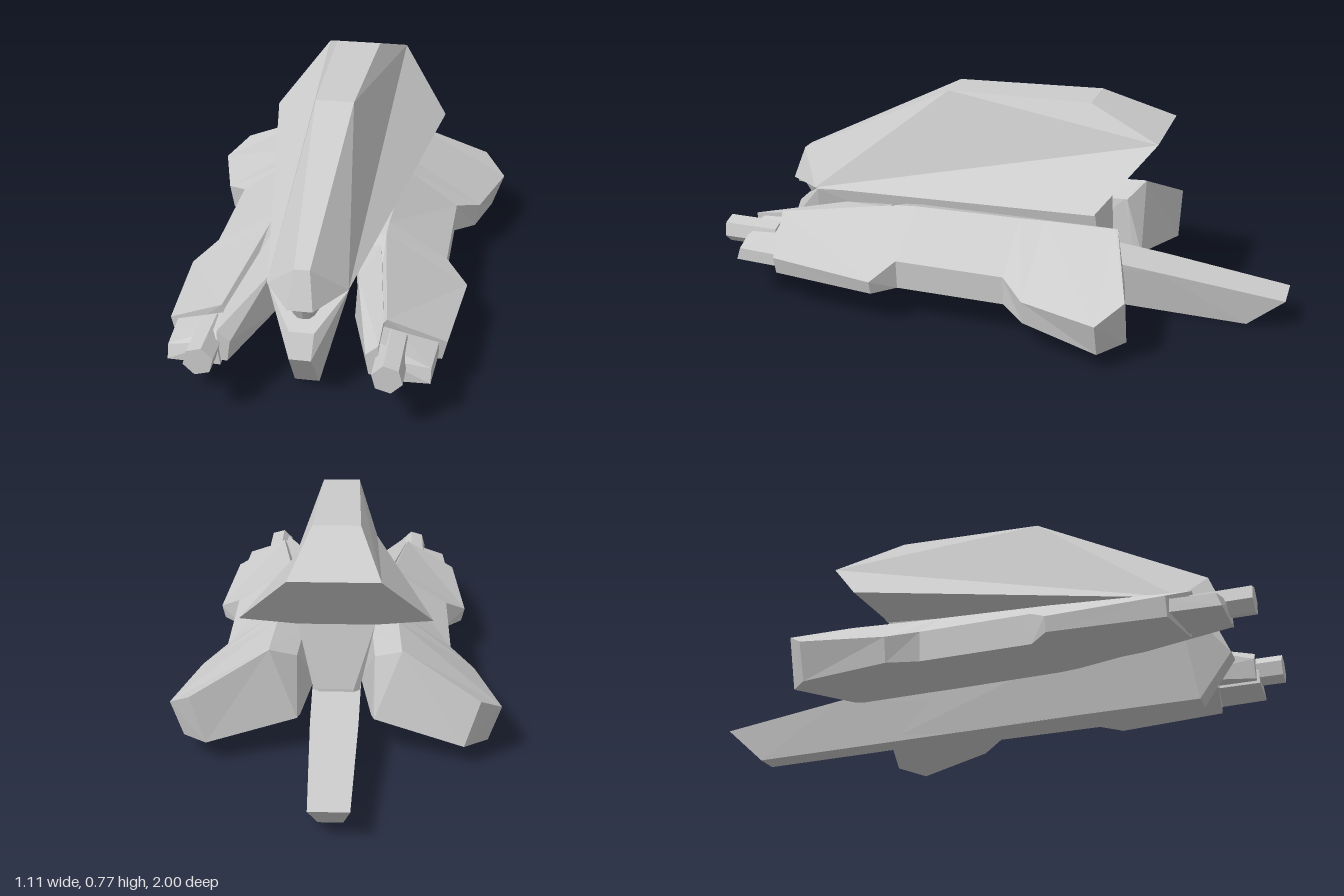
import * as THREE from 'three';
import { ConvexGeometry } from 'three/addons/geometries/ConvexGeometry.js';

const material = new THREE.MeshStandardMaterial({ color: 0xcccccc, flatShading: true });

function part(name, geometry, parent) {
  const mesh = new THREE.Mesh(geometry, material);
  mesh.name = name;
  parent.add(mesh);
  return mesh;
}

// Faceted solid from corner points
const solid = (points) => new ConvexGeometry(points.map((p) => new THREE.Vector3(...p)));

// Same, with each point repeated on the other side
const mirrored = (points) => solid(points.flatMap(([x, y, z]) => [[x, y, z], [-x, y, z]]));

// Flat-shaded geometry from corners and triangle indices
function faceted(points, index) {
  const g = new THREE.BufferGeometry();
  g.setAttribute('position', new THREE.Float32BufferAttribute(points.flat(), 3));
  g.setIndex(index);
  const flat = g.toNonIndexed();
  flat.computeVertexNormals();
  return flat;
}

// Joins sections with equal corner counts, ordered front to back, and closes the ends
function loft(sections) {
  const n = sections[0].length, e = (sections.length - 1) * n;
  const index = [];
  for (let i = 0; i < sections.length - 1; i++) {
    for (let j = 0; j < n; j++) {
      const a = i * n + j, b = i * n + (j + 1) % n;
      index.push(a, b, b + n, a, b + n, a + n);
    }
  }
  for (let j = 1; j < n - 1; j++) index.push(0, j + 1, j, e, e + j, e + j + 1);
  return faceted(sections.flat(), index);
}

// Upper hull: left-side corners and faces mirrored, joined by strips along the middle
function upperHullGeometry() {
  const left = [
    [0.025, 0.455, 0.815], // 0 nose top
    [0.04, 0.335, 0.86], // 1 nose bottom
    [0.13, 0.345, 0.73], // 2 cheek
    [0.065, 0.757, 0.22], // 3 front of crown
    [0.08, 0.772, -0.30], // 4 rear of crown
    [0.15, 0.675, -0.55], // 5 stern
    [0.323, 0.47, -0.38], // 6 widest corner
    [0.13, 0.43, -0.33], // 7 underside
  ];
  const n = left.length;
  const faces = [
    [3, 2, 5], [2, 6, 5], [3, 5, 4], [0, 2, 3], [0, 1, 2],
    [2, 7, 6], [1, 7, 2], [6, 7, 5],
  ];
  const index = faces.flatMap(([a, b, c]) => [a, b, c, a + n, c + n, b + n]);
  const middle = [1, 0, 3, 4, 5, 7, 1];
  for (let i = 0; i < middle.length - 1; i++) {
    const a = middle[i], b = middle[i + 1];
    index.push(a, b, b + n, a, b + n, a + n);
  }
  return faceted([...left, ...left.map(([x, y, z]) => [-x, y, z])], index);
}

function createWing(name) {
  const wing = new THREE.Group();
  wing.name = name;

  // Notched drooping plate: ridge, outer top, outer bottom, inner bottom, inner shoulder
  part('wingPlate', loft([
    [[0.26, 0.295, 0.80], [0.445, 0.20, 0.75], [0.43, 0.135, 0.75], [0.22, 0.15, 0.78], [0.22, 0.24, 0.80]],
    [[0.20, 0.353, 0.37], [0.477, 0.18, 0.37], [0.465, 0.13, 0.37], [0.10, 0.155, 0.37], [0.12, 0.325, 0.37]],
    [[0.20, 0.358, 0.30], [0.40, 0.235, 0.30], [0.395, 0.13, 0.30], [0.09, 0.155, 0.30], [0.12, 0.33, 0.30]],
    [[0.21, 0.371, -0.09], [0.40, 0.235, -0.09], [0.395, 0.13, -0.09], [0.08, 0.155, -0.09], [0.12, 0.335, -0.09]],
    [[0.21, 0.375, -0.18], [0.48, 0.197, -0.18], [0.465, 0.11, -0.18], [0.08, 0.155, -0.18], [0.12, 0.335, -0.18]],
    [[0.22, 0.385, -0.43], [0.557, 0.19, -0.45], [0.515, 0.065, -0.45], [0.12, 0.135, -0.42], [0.13, 0.34, -0.38]],
    [[0.22, 0.384, -0.44], [0.48, 0.25, -0.53], [0.43, 0.08, -0.53], [0.13, 0.135, -0.45], [0.13, 0.34, -0.39]],
  ]), wing);

  // Forward prong along the inner edge
  part('innerProng', solid([
    [0.12, 0.315, 0.42], [0.19, 0.335, 0.42], [0.11, 0.165, 0.42], [0.22, 0.165, 0.42],
    [0.14, 0.31, 0.60], [0.13, 0.165, 0.60], [0.25, 0.285, 0.80], [0.25, 0.165, 0.80],
    [0.21, 0.235, 0.91], [0.25, 0.27, 0.91], [0.22, 0.165, 0.91], [0.25, 0.165, 0.91],
  ]), wing);

  // Gun housing and hexagonal barrel
  part('gunHousing', solid([
    [0.25, 0.27, 0.74], [0.42, 0.20, 0.74], [0.42, 0.155, 0.74], [0.24, 0.155, 0.74],
    [0.25, 0.262, 0.88], [0.41, 0.20, 0.90], [0.41, 0.155, 0.915], [0.24, 0.155, 0.92],
    [0.25, 0.235, 0.92],
  ]), wing);
  const barrel = part('gunBarrel', new THREE.CylinderGeometry(0.049, 0.049, 0.2, 6, 1, false, 0.25), wing);
  barrel.rotation.x = Math.PI / 2;
  barrel.position.set(0.288, 0.215, 0.9);
  return wing;
}

export function createModel() {
  const model = new THREE.Group();
  model.name = 'spacecraft';

  part('upperHull', upperHullGeometry(), model);

  // Wedge body with a narrowing rear neck
  part('body', mirrored([
    [0.04, 0.012, 0.76], [0.035, 0.165, 0.873], [0.04, 0.245, 0.84],
    [0.13, 0.34, 0.72], [0.13, 0.43, -0.33], [0.06, 0.2, -0.36], [0.04, 0.01, -0.36],
  ]), model);

  // Rounded lip under the nose
  const lip = part('noseLip', new THREE.CylinderGeometry(0.062, 0.035, 0.055, 12), model);
  lip.position.set(0, 0.303, 0.775);

  // Keel running back into the tail boom
  part('tailKeel', mirrored([
    [0.038, 0.015, 0.75], [0.05, 0.16, 0.78], [0.085, 0.205, -0.2],
    [0.08, 0.172, -0.55], [0.065, 0.122, -1], [0.04, 0, -0.87],
  ]), model);

  const left = createWing('leftWing');
  const right = createWing('rightWing');
  right.scale.x = -1;
  model.add(left, right);
  return model;
}
